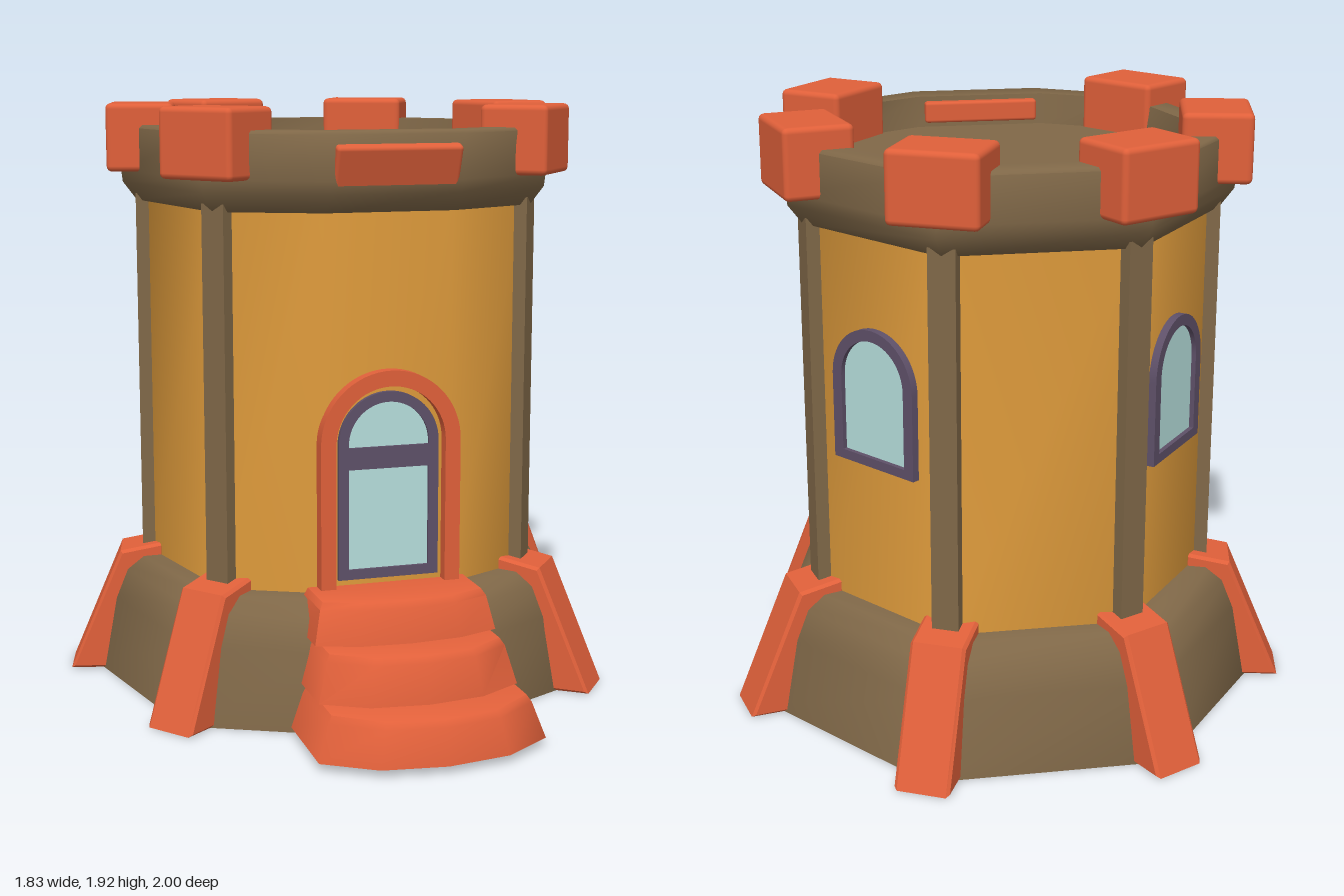
import * as THREE from 'three';
import { toCreasedNormals } from 'three/addons/utils/BufferGeometryUtils.js';
import { RoundedBoxGeometry } from 'three/addons/geometries/RoundedBoxGeometry.js';

const mat = (color) => new THREE.MeshStandardMaterial({ color, side: THREE.DoubleSide });
const CZ = -0.14; // z of the tower axis
const STEP = (Math.PI * 2) / 7;

// Heptagon of radius r whose front corner is cut off at z = front
function towerRing([r, front, y]) {
  const pts = [[0.21, y, front]];
  for (let k = 1; k <= 6; k++) pts.push([r * Math.sin(k * STEP), y, CZ + r * Math.cos(k * STEP)]);
  pts.push([-0.21, y, front]);
  return pts;
}

// Joins closed rings of equal length into a skin; cap closes the last ring
function loft(rings, cap = false) {
  const n = rings[0].length, pos = rings.flat(2), index = [];
  for (let j = 0; j < rings.length - 1; j++) {
    for (let i = 0; i < n; i++) {
      const a = j * n + i, b = j * n + (i + 1) % n;
      index.push(a, b, b + n, a, b + n, a + n);
    }
  }
  const last = (rings.length - 1) * n;
  if (cap) for (let i = 1; i < n - 1; i++) index.push(last, last + i, last + i + 1);
  const g = new THREE.BufferGeometry();
  g.setAttribute('position', new THREE.Float32BufferAttribute(pos, 3));
  g.setIndex(index);
  return toCreasedNormals(g, 1.0);
}

// Round-headed opening outline
function arch(half, bottom, top, Type = THREE.Shape) {
  const s = new Type();
  s.moveTo(-half, bottom);
  s.lineTo(half, bottom);
  s.lineTo(half, top - half);
  s.absarc(0, top - half, half, 0, Math.PI, false);
  s.lineTo(-half, bottom);
  return s;
}

function archFrame(outer, inner, depth) {
  const s = arch(...outer);
  s.holes.push(arch(...inner, THREE.Path));
  return toCreasedNormals(new THREE.ExtrudeGeometry(s, { depth, bevelEnabled: false, curveSegments: 16 }), 0.6);
}

export function createModel() {
  const model = new THREE.Group();
  const red = mat(0xe0603a), brown = mat(0x806848), orange = mat(0xe09c3c);
  const purple = mat(0x5e5068), glass = mat(0xb6dfdd);

  const add = (name, geometry, material, parent = model, x = 0, y = 0, z = 0) => {
    const m = new THREE.Mesh(geometry, material);
    m.name = name;
    m.position.set(x, y, z);
    parent.add(m);
    return m;
  };
  // Group on the tower axis whose local +z points outwards at the given angle
  const radial = (name, angle) => {
    const g = new THREE.Group();
    g.name = name;
    g.position.z = CZ;
    g.rotation.y = angle;
    model.add(g);
    return g;
  };

  // Tower body: flared base, wall, parapet with sunken roof
  add('base', loft([
    [0.85, 0.61, 0], [0.805, 0.575, 0.25], [0.765, 0.535, 0.35], [0.71, 0.47, 0.395], [0.64, 0.4, 0.4],
  ].map(towerRing)), brown);
  add('wall', loft([[0.65, 0.41, 0.38], [0.65, 0.41, 1.62]].map(towerRing)), orange);
  add('parapet', loft([
    [0.645, 0.405, 1.6], [0.67, 0.425, 1.6], [0.715, 0.49, 1.66], [0.72, 0.5, 1.7],
    [0.72, 0.515, 1.84], [0.71, 0.505, 1.85], [0.62, 0.4, 1.85], [0.605, 0.385, 1.75],
  ].map(towerRing), true), brown);
  add('roofHatch', new THREE.CylinderGeometry(0.265, 0.265, 0.02, 11), brown, model, 0, 1.752, -0.37);

  // Corner parts on every corner but the front one
  const profile = new THREE.Shape([
    [0.91, 0.01], [0.74, 0.405], [0.61, 0.43], [0.61, 0.36], [0.8, 0.01],
  ].map(([x, y]) => new THREE.Vector2(x, y)));
  const buttressGeo = new THREE.ExtrudeGeometry(profile, {
    depth: 0.155, bevelThickness: 0.01, bevelSize: 0.01, bevelSegments: 1,
  });
  buttressGeo.translate(0, 0, -0.0775).rotateY(-Math.PI / 2);
  const merlonGeo = new RoundedBoxGeometry(0.28, 0.22, 0.22, 2, 0.018);
  const columnGeo = new THREE.BoxGeometry(0.085, 1.25, 0.08);
  for (let k = 1; k <= 6; k++) {
    const corner = radial('corner' + k, k * STEP);
    add('buttress', buttressGeo, red, corner);
    add('column', columnGeo, brown, corner, 0, 1.0, 0.632);
    add('merlon', merlonGeo, red, corner, 0, 1.81, 0.65);
  }

  // Blank plaque over the door, outside and inside the parapet
  const plaque = add('plaque', new RoundedBoxGeometry(0.4, 0.135, 0.08, 2, 0.012), red, model, 0, 1.752, 0.478);
  plaque.rotation.x = 0.35;
  add('plaqueBack', new RoundedBoxGeometry(0.38, 0.07, 0.04, 2, 0.01), red, model, 0, 1.8, 0.385);

  // Door
  const door = new THREE.Group();
  door.name = 'door';
  door.position.z = 0.4;
  model.add(door);
  add('doorSurround', archFrame([0.23, 0.39, 1.11], [0.18, 0.4, 1.06], 0.05), red, door);
  add('doorFrame', archFrame([0.165, 0.44, 1.04], [0.132, 0.472, 1.007], 0.025), purple, door);
  add('doorGlass', new THREE.ShapeGeometry(arch(0.14, 0.46, 1.015), 16), glass, door, 0, 0, 0.016);
  add('doorBar', new THREE.BoxGeometry(0.28, 0.07, 0.025), purple, door, 0, 0.83, 0.0125);

  // Windows on the two rear side panels
  for (const side of [1, -1]) {
    const w = radial(side > 0 ? 'leftWindow' : 'rightWindow', side * 2.5 * STEP);
    add('windowFrame', archFrame([0.17, 0.88, 1.32], [0.132, 0.91, 1.285], 0.035), purple, w, 0, 0, 0.575);
    add('windowGlass', new THREE.ShapeGeometry(arch(0.14, 0.9, 1.295), 16), glass, w, 0, 0, 0.595);
  }

  // Steps with a faceted round front, narrowing upwards
  const stair = (half, back, front, bow, y) => [
    [-half, y, back], [-half, y, front - bow], [-half * 0.56, y, front - bow * 0.22], [0, y, front],
    [half * 0.56, y, front - bow * 0.22], [half, y, front - bow], [half, y, back],
  ];
  [
    [0.36, 0.31, 0.56, 1.0, 0.13, 0.025, 0.155],
    [0.32, 0.275, 0.5, 0.83, 0.1, 0.155, 0.295],
    [0.295, 0.26, 0.4, 0.665, 0.06, 0.295, 0.42],
  ].forEach(([low, high, back, front, bow, y0, y1], i) => {
    add('step' + (i + 1), loft([
      stair(low, back, front, bow, y0),
      stair(high + 0.012, back, front - 0.025, bow, y1 - 0.02),
      stair(high, back, front - 0.04, bow, y1),
    ], true), red);
  });

  return model;
}
